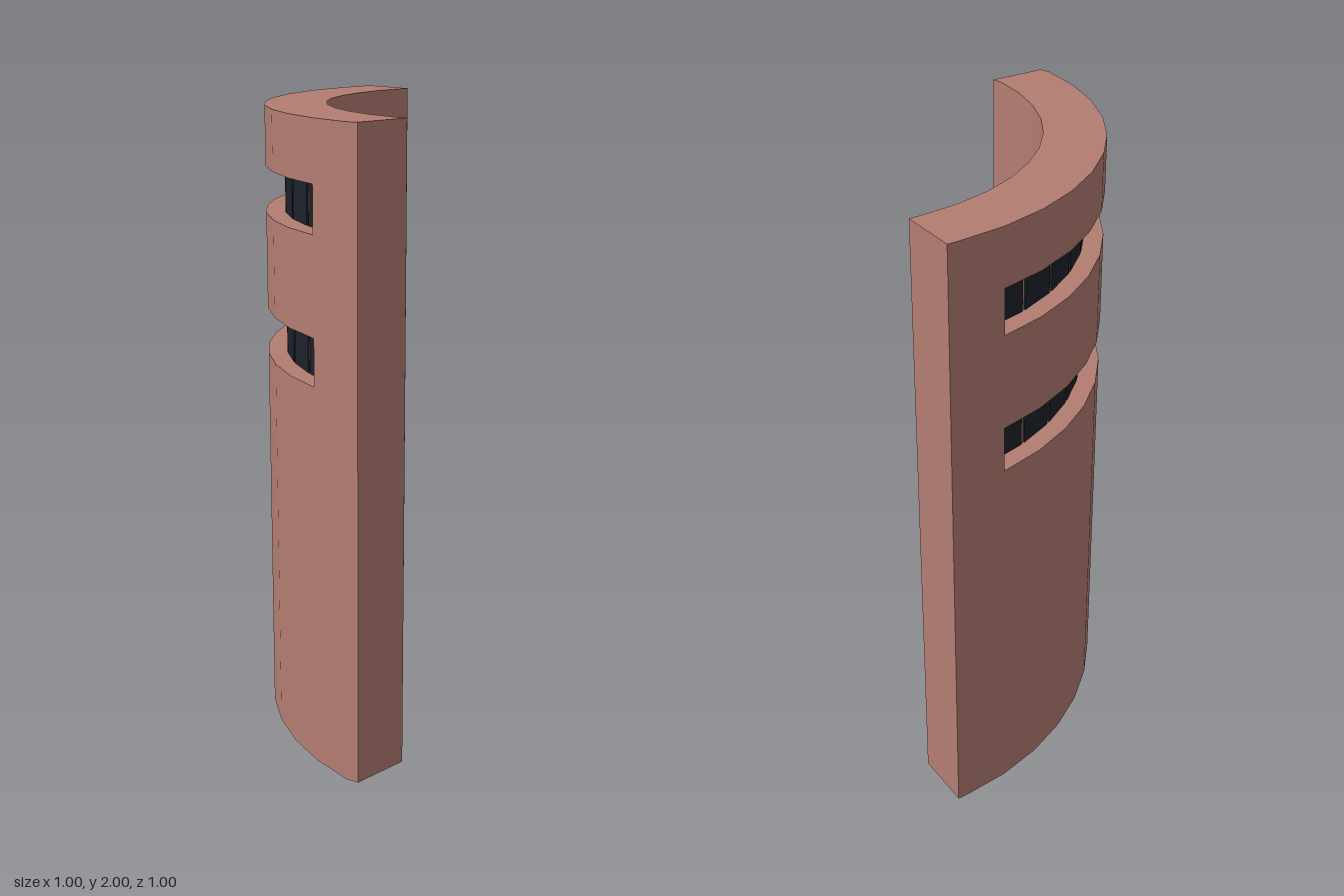
import * as THREE from 'three';
import { mergeGeometries } from 'three/addons/utils/BufferGeometryUtils.js';

const HEIGHT = 2, HALF = 0.5, STEPS = 10;
const STEP = Math.PI / 2 / STEPS;
const CENTRE = 0.463, OUTER = 0.963, INNER = 0.771, DEPTH = 0.065;
const WINDOW_ROWS = [[1.22, 1.367], [1.67, 1.815]];
const FIRST = 2, LAST = STEPS; // profile points bounding the window strip

// Quarter arc in plan, with a short straight run at each end
function arcProfile(radius, cz = CENTRE) {
  const points = [];
  for (let i = 0; i <= STEPS; i++) {
    const angle = i * STEP;
    points.push({ x: CENTRE - radius * Math.sin(angle), z: cz - radius * Math.cos(angle), angle });
  }
  points.unshift({ ...points[0], x: HALF });
  points.push({ ...points[STEPS], z: HALF });
  return points;
}

// Strip of quads between two plan lines; bend = 1 or -1 gives smooth radial normals
function ribbon(low, y0, high, y1, bend = 0) {
  const pos = [], nor = [], index = [];
  for (const [line, y] of [[low, y0], [high, y1]]) {
    for (const p of line) {
      pos.push(p.x, y, p.z);
      nor.push(-bend * Math.sin(p.angle), 0, -bend * Math.cos(p.angle));
    }
  }
  const n = low.length;
  for (let i = 0; i < n - 1; i++) index.push(i, i + 1, n + i + 1, i, n + i + 1, n + i);
  const g = new THREE.BufferGeometry();
  g.setAttribute('position', new THREE.Float32BufferAttribute(pos, 3));
  g.setAttribute('normal', new THREE.Float32BufferAttribute(nor, 3));
  g.setIndex(index);
  if (!bend) g.computeVertexNormals();
  return g;
}

function wallGeometry() {
  const outer = arcProfile(OUTER), inner = arcProfile(INNER, CENTRE + 0.003);
  const end = outer.length - 1;
  const opening = outer.slice(FIRST, LAST + 1);
  const back = arcProfile(OUTER - DEPTH).slice(FIRST, LAST + 1);
  const last = back.length - 1;

  // Inner face, top, underside and the two straight ends
  const parts = [
    ribbon(inner, HEIGHT, inner, 0, -1),
    ribbon(outer, HEIGHT, inner, HEIGHT),
    ribbon(inner, 0, outer, 0),
  ];
  for (const edge of [[inner[0], outer[0]], [outer[end], inner[end]]]) parts.push(ribbon(edge, 0, edge, HEIGHT));

  // Outer face in bands, with a recess for each window row
  let y = 0;
  for (const [y0, y1] of WINDOW_ROWS) {
    parts.push(ribbon(outer, y, outer, y0, 1));
    for (const side of [outer.slice(0, FIRST + 1), outer.slice(LAST)]) parts.push(ribbon(side, y0, side, y1, 1));
    parts.push(ribbon(back, y0, back, y1, 1));
    parts.push(ribbon(opening, y0, back, y0)); // sill
    parts.push(ribbon(back, y1, opening, y1)); // soffit
    for (const jamb of [[opening[0], back[0]], [back[last], opening[last]]]) parts.push(ribbon(jamb, y0, jamb, y1));
    y = y1;
  }
  parts.push(ribbon(outer, y, outer, HEIGHT, 1));
  return mergeGeometries(parts);
}

export function createModel() {
  const model = new THREE.Group();
  model.name = 'curvedBuilding';
  const wallMaterial = new THREE.MeshStandardMaterial({ color: 0xb37d72 });
  const glassMaterial = new THREE.MeshStandardMaterial({ color: 0x1c2229 });

  const wall = new THREE.Mesh(wallGeometry(), wallMaterial);
  wall.name = 'curvedWall';
  model.add(wall);

  // One dark pane per facet; the wall showing between them forms the mullions
  const radius = (OUTER - DEPTH) * Math.cos(STEP / 2);
  WINDOW_ROWS.forEach(([y0, y1], r) => {
    const row = new THREE.Group();
    row.name = r ? 'upperWindowRow' : 'lowerWindowRow';
    const geometry = new THREE.BoxGeometry(0.128, y1 - y0 - 0.002, 0.01);
    for (let i = 1; i < STEPS - 1; i++) {
      const angle = (i + 0.5) * STEP;
      const pane = new THREE.Mesh(geometry, glassMaterial);
      pane.name = 'windowPane';
      pane.position.set(CENTRE - radius * Math.sin(angle), (y0 + y1) / 2, CENTRE - radius * Math.cos(angle));
      pane.rotation.y = angle;
      row.add(pane);
    }
    model.add(row);
  });
  return model;
}
